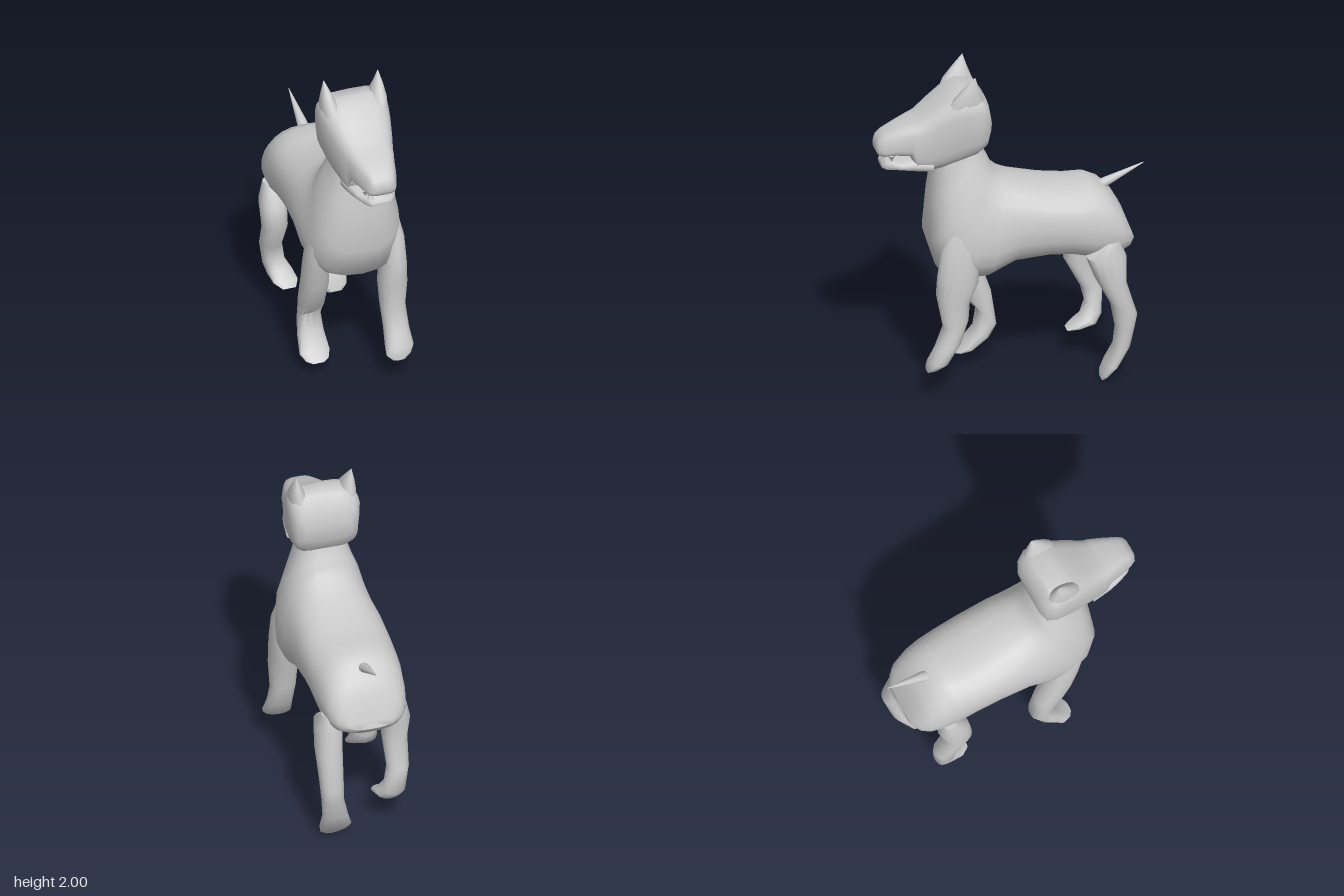
import * as THREE from 'three';
import { toCreasedNormals } from 'three/addons/utils/BufferGeometryUtils.js';

const material = new THREE.MeshStandardMaterial({ color: 0xcccccc });

// Skin over cross-sections [cx, az, ay, bz, by, halfWidth, taper]: each ring
// spans points a and b in the side plane; n squares off the rounded outline,
// and a positive taper narrows the ring towards a.
function loft(name, sections, n = 2.3, sides = 16, crease = 0.9) {
  const pos = [], idx = [];
  const soft = (v) => Math.sign(v) * Math.pow(Math.abs(v), 2 / n);
  for (const [cx, az, ay, bz, by, w, taper = 0] of sections) {
    for (let j = 0; j < sides; j++) {
      const t = (j / sides) * Math.PI * 2;
      const c = soft(Math.cos(t)), s = soft(Math.sin(t));
      pos.push(cx + w * s * (1 - taper * c), (ay + by + (ay - by) * c) / 2, (az + bz + (az - bz) * c) / 2);
    }
  }
  const rings = sections.length;
  for (let i = 0; i < rings - 1; i++) {
    for (let j = 0; j < sides; j++) {
      const a = i * sides + j, b = i * sides + (j + 1) % sides;
      idx.push(a, a + sides, b, b, a + sides, b + sides);
    }
  }
  // end caps
  for (const end of [0, rings - 1]) {
    const [cx, az, ay, bz, by] = sections[end];
    const centre = pos.length / 3;
    pos.push(cx, (ay + by) / 2, (az + bz) / 2);
    for (let j = 0; j < sides; j++) {
      const a = end * sides + j, b = end * sides + (j + 1) % sides;
      if (end === 0) idx.push(centre, a, b);
      else idx.push(centre, b, a);
    }
  }
  const geometry = new THREE.BufferGeometry();
  geometry.setAttribute('position', new THREE.Float32BufferAttribute(pos, 3));
  geometry.setIndex(idx);
  const mesh = new THREE.Mesh(toCreasedNormals(geometry, crease), material);
  mesh.name = name;
  return mesh;
}

export function createModel() {
  const model = new THREE.Group();
  model.name = 'hound';

  // Trunk, turning up from the chest into the neck
  model.add(loft('bodyAndNeck', [
    [0, -0.695, 0.92, -0.72, 0.84, 0.13, 0.1],
    [0, -0.655, 1.03, -0.69, 0.80, 0.195, 0.1],
    [0, -0.61, 1.11, -0.64, 0.775, 0.23, 0.1],
    [0, -0.54, 1.185, -0.57, 0.755, 0.25, 0.08],
    [0, -0.46, 1.22, -0.46, 0.75, 0.262, 0.05],
    [0, -0.35, 1.215, -0.34, 0.78, 0.268],
    [0, -0.20, 1.235, -0.20, 0.79, 0.273],
    [0, -0.02, 1.285, 0.00, 0.78, 0.278, 0.08],
    [0, 0.06, 1.325, 0.17, 0.70, 0.28, 0.15],
    [0, 0.11, 1.37, 0.33, 0.69, 0.275, 0.18],
    [0, 0.13, 1.42, 0.44, 0.75, 0.26, 0.18],
    [0, 0.15, 1.46, 0.50, 0.94, 0.235, 0.15],
    [0, 0.17, 1.50, 0.485, 1.20, 0.185, 0.1],
    [0, 0.19, 1.56, 0.455, 1.45, 0.14],
    [0, 0.22, 1.65, 0.43, 1.60, 0.13],
  ], 2.5, 24));

  // Tail spike
  model.add(loft('tail', [
    [0, -0.53, 1.12, -0.52, 1.18, 0.035],
    [0, -0.59, 1.15, -0.57, 1.20, 0.03],
    [0, -0.80, 1.27, -0.798, 1.275, 0.002],
  ], 2, 10));

  // Head: flat-faced skull with upper jaw, and lower jaw below the open mouth
  const head = new THREE.Group();
  head.name = 'head';
  head.add(loft('skull', [
    [0, 0.13, 1.71, 0.14, 1.60, 0.14],
    [0, 0.15, 1.81, 0.165, 1.53, 0.185],
    [0, 0.20, 1.885, 0.22, 1.48, 0.207, -0.06],
    [0, 0.30, 1.895, 0.31, 1.44, 0.205, -0.1],
    [0, 0.37, 1.86, 0.40, 1.41, 0.19, -0.1],
    [0, 0.46, 1.795, 0.50, 1.39, 0.168, -0.08],
    [0, 0.55, 1.725, 0.58, 1.41, 0.148],
    [0, 0.59, 1.705, 0.605, 1.495, 0.138],
    [0, 0.68, 1.67, 0.69, 1.505, 0.115, 0.1],
    [0, 0.75, 1.64, 0.76, 1.495, 0.09, 0.1],
    [0, 0.785, 1.61, 0.79, 1.51, 0.075, 0.1],
    [0, 0.80, 1.575, 0.80, 1.53, 0.05],
  ], 3.6, 24));
  head.add(loft('lowerJaw', [
    [0, 0.48, 1.49, 0.48, 1.395, 0.155],
    [0, 0.58, 1.49, 0.60, 1.405, 0.14],
    [0, 0.66, 1.465, 0.67, 1.415, 0.118],
    [0, 0.73, 1.48, 0.74, 1.41, 0.09],
    [0, 0.765, 1.45, 0.765, 1.42, 0.06],
  ], 3));
  for (const side of [-1, 1]) {
    // Pointed ear at the crown corner
    head.add(loft(side > 0 ? 'leftEar' : 'rightEar', [
      [side * 0.14, 0.17, 1.79, 0.40, 1.79, 0.055],
      [side * 0.15, 0.188, 1.86, 0.365, 1.86, 0.05],
      [side * 0.16, 0.215, 1.93, 0.305, 1.93, 0.028],
      [side * 0.167, 0.238, 2.0, 0.242, 2.0, 0.002],
    ], 2.2, 12));
    // Upper and lower teeth
    for (const [x, y, z, up] of [[0.085, 1.495, 0.715, -1], [0.06, 1.485, 0.735, 1]]) {
      const tooth = new THREE.Mesh(new THREE.ConeGeometry(0.022, 0.04, 6), material);
      tooth.name = 'tooth';
      tooth.position.set(side * x, y, z);
      if (up < 0) tooth.rotation.x = Math.PI;
      head.add(tooth);
    }
  }
  model.add(head);

  // Legs in mid stride, from the shoulder or hip down to the toes
  const legs = {
    leftFrontLeg: [
      [0.20, 0.40, 1.06, 0.24, 1.08, 0.05],
      [0.215, 0.45, 0.94, 0.22, 0.92, 0.065],
      [0.215, 0.475, 0.78, 0.23, 0.72, 0.075],
      [0.205, 0.48, 0.65, 0.28, 0.60, 0.085],
      [0.21, 0.44, 0.44, 0.29, 0.49, 0.075],
      [0.215, 0.49, 0.31, 0.34, 0.34, 0.075],
      [0.215, 0.53, 0.23, 0.41, 0.23, 0.085],
      [0.20, 0.535, 0.19, 0.47, 0.195, 0.075],
      [0.195, 0.535, 0.165, 0.515, 0.175, 0.04],
    ],
    rightFrontLeg: [
      [-0.20, 0.36, 1.06, 0.22, 1.06, 0.05],
      [-0.215, 0.37, 0.92, 0.17, 0.90, 0.065],
      [-0.215, 0.34, 0.78, 0.14, 0.73, 0.075],
      [-0.21, 0.29, 0.60, 0.12, 0.62, 0.082],
      [-0.21, 0.23, 0.43, 0.06, 0.45, 0.075],
      [-0.205, 0.15, 0.35, 0.03, 0.24, 0.07],
      [-0.205, 0.165, 0.23, 0.08, 0.16, 0.08],
      [-0.21, 0.23, 0.13, 0.18, 0.095, 0.092],
      [-0.21, 0.265, 0.095, 0.24, 0.08, 0.07],
      [-0.21, 0.28, 0.08, 0.27, 0.072, 0.035],
    ],
    leftHindLeg: [
      [0.205, -0.52, 0.89, -0.61, 0.89, 0.055],
      [0.21, -0.41, 0.80, -0.65, 0.79, 0.08],
      [0.215, -0.46, 0.67, -0.65, 0.62, 0.08],
      [0.22, -0.55, 0.50, -0.71, 0.42, 0.07],
      [0.215, -0.58, 0.34, -0.695, 0.34, 0.065],
      [0.195, -0.575, 0.22, -0.67, 0.21, 0.075],
      [0.175, -0.53, 0.10, -0.60, 0.09, 0.097],
      [0.175, -0.505, 0.04, -0.54, 0.03, 0.08],
      [0.18, -0.50, 0.01, -0.51, 0.0, 0.04],
    ],
    rightHindLeg: [
      [-0.21, -0.47, 0.86, -0.56, 0.86, 0.055],
      [-0.215, -0.39, 0.74, -0.58, 0.74, 0.08],
      [-0.215, -0.37, 0.61, -0.53, 0.57, 0.075],
      [-0.21, -0.47, 0.42, -0.60, 0.42, 0.065],
      [-0.19, -0.49, 0.33, -0.59, 0.25, 0.065],
      [-0.165, -0.46, 0.26, -0.55, 0.20, 0.075],
      [-0.155, -0.41, 0.215, -0.45, 0.185, 0.075],
      [-0.15, -0.37, 0.185, -0.38, 0.177, 0.04],
    ],
  };
  for (const [name, sections] of Object.entries(legs)) model.add(loft(name, sections, 2.3, 14));

  return model;
}
